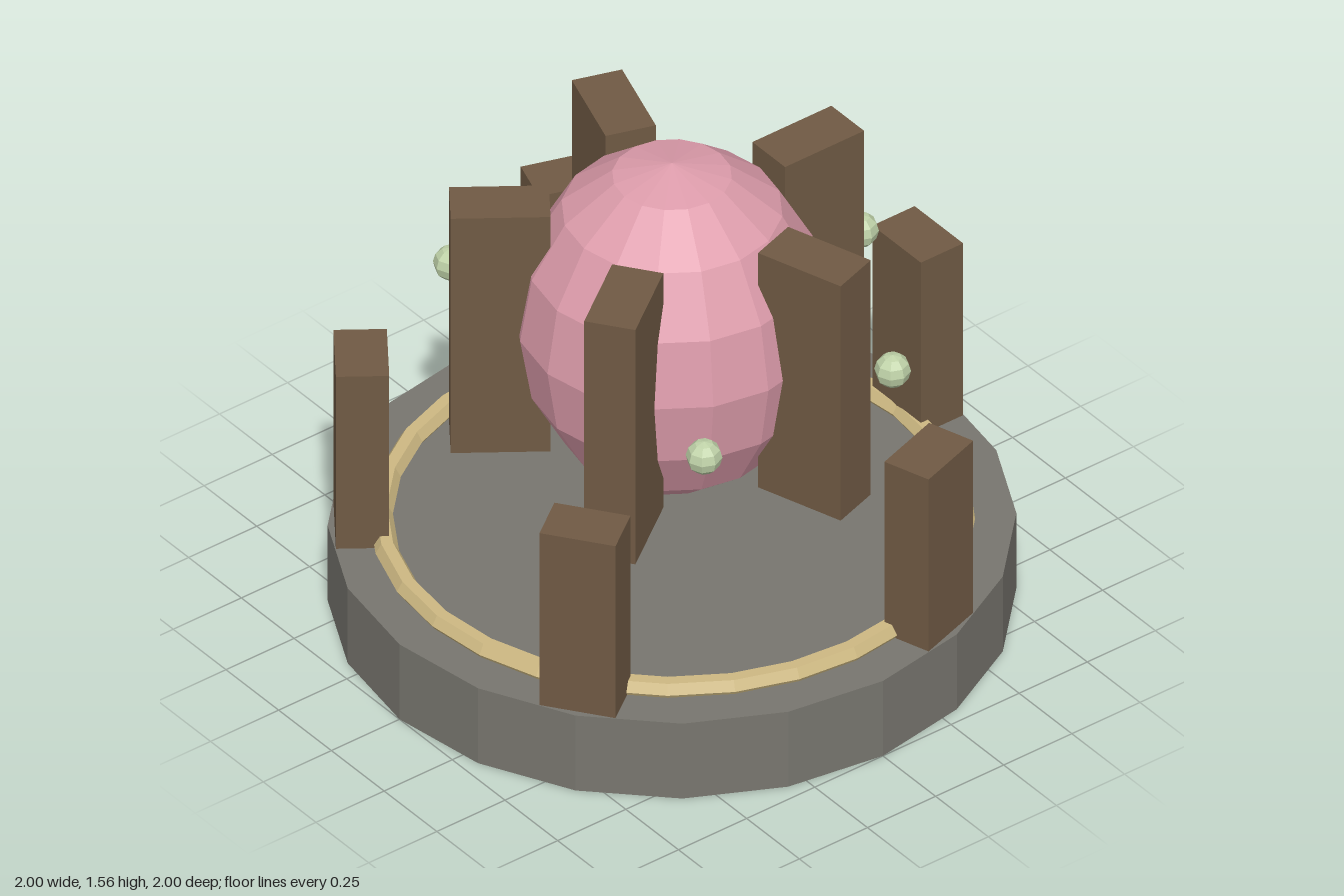
import * as THREE from 'three';

const flat = (name, color) => {
  const m = new THREE.MeshStandardMaterial({ color, flatShading: true });
  m.name = name;
  return m;
};

export function createModel() {
  const stone = flat('stone grey', 0x78766f);
  const wood = flat('wood brown', 0x705a44);
  const pink = flat('rose pink', 0xdd9cab);
  const brass = flat('pale brass', 0xcdb882);
  const green = flat('pale green', 0xbfd2a8);

  const model = new THREE.Group();
  model.name = 'eggShrine';

  const add = (name, geometry, material, x = 0, y = 0, z = 0) => {
    const mesh = new THREE.Mesh(geometry, material);
    mesh.name = name;
    mesh.position.set(x, y, z);
    model.add(mesh);
    return mesh;
  };
  // Places a part at an angle around the vertical axis, facing outwards
  const addAround = (name, geometry, material, angle, radius, y) => {
    const mesh = add(name, geometry, material, radius * Math.cos(angle), y, radius * Math.sin(angle));
    mesh.rotation.y = -angle;
  };

  // Round base with an inlaid ring
  add('base', new THREE.CylinderGeometry(1, 1, 0.27, 20), stone, 0, 0.135, 0);
  const ring = new THREE.TorusGeometry(0.845, 0.035, 6, 28);
  ring.rotateX(-Math.PI / 2);
  add('baseRing', ring, brass, 0, 0.282, 0);

  // Floating egg
  const egg = new THREE.SphereGeometry(1, 16, 8);
  egg.scale(0.457, 0.555, 0.457);
  add('egg', egg, pink, 0, 1.0, 0);

  // Five fins around the egg and five posts around the rim
  const fin = new THREE.BoxGeometry(0.29, 0.845, 0.155);
  const post = new THREE.BoxGeometry(0.155, 0.62, 0.23);
  for (let i = 0; i < 5; i++) {
    const angle = (i * Math.PI * 2) / 5;
    addAround('fin', fin, wood, angle, 0.5, 1.0025);
    addAround('post', post, wood, angle, 0.902, 0.58);
  }

  // Floating beads at sixty-degree steps, with none on the far right
  const bead = new THREE.SphereGeometry(0.054, 8, 6);
  for (const step of [-2, -1, 0, 1, 2]) {
    const angle = (step * Math.PI) / 3;
    add('bead', bead, green, 0.692 * Math.cos(angle), 1.0025, 0.692 * Math.sin(angle));
  }

  return model;
}
